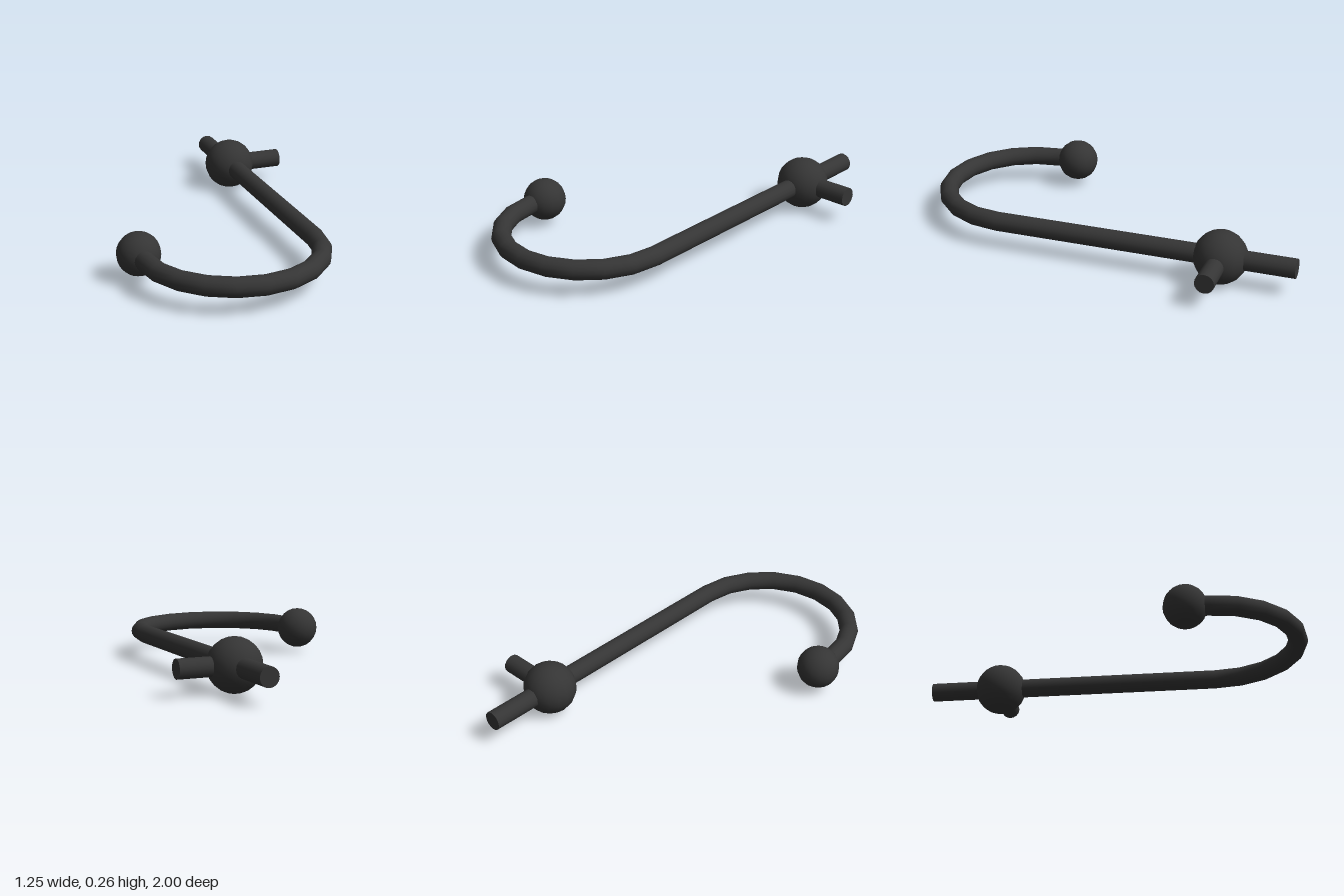
import * as THREE from 'three';

export function createModel() {
  const model = new THREE.Group();
  const iron = new THREE.MeshStandardMaterial({ color: 0x353535 });
  iron.name = 'dark iron';

  const Y = 0.134, R = 0.048, SHAFT_X = 0.338, BEND_X = -0.09, BEND_Z = 0.52;
  const BEND_R = SHAFT_X - BEND_X, SIDES = 16;

  const add = (name, geometry, x, z) => {
    const mesh = new THREE.Mesh(geometry, iron);
    mesh.name = name;
    mesh.position.set(x, Y, z);
    model.add(mesh);
    return mesh;
  };
  // Straight round bar along z, or along x when sideways
  const bar = (name, length, x, z, sideways = false) => {
    const g = new THREE.CylinderGeometry(R, R, length, SIDES);
    if (sideways) g.rotateZ(Math.PI / 2);
    else g.rotateX(Math.PI / 2);
    add(name, g, x, z);
  };
  const ball = (name, radius, x, z) =>
    add(name, new THREE.SphereGeometry(radius, 16, 12), x, z);

  // Long shaft, half-circle hook and its short return
  bar('shaft', BEND_Z + 1, SHAFT_X, (BEND_Z - 1) / 2);
  const bend = new THREE.TorusGeometry(BEND_R, R, SIDES, 10, Math.PI);
  bend.rotateX(Math.PI / 2);
  add('hookBend', bend, BEND_X, BEND_Z);
  bar('hookReturn', 0.1, BEND_X - BEND_R, BEND_Z - 0.05);

  // Joint ball with a stub to the side, and the ball on the hook's tip
  ball('jointBall', 0.132, SHAFT_X, -0.632);
  bar('sideStub', 0.625 - SHAFT_X, (0.625 + SHAFT_X) / 2, -0.632, true);
  ball('tipBall', 0.107, BEND_X - BEND_R, 0.415);

  return model;
}
